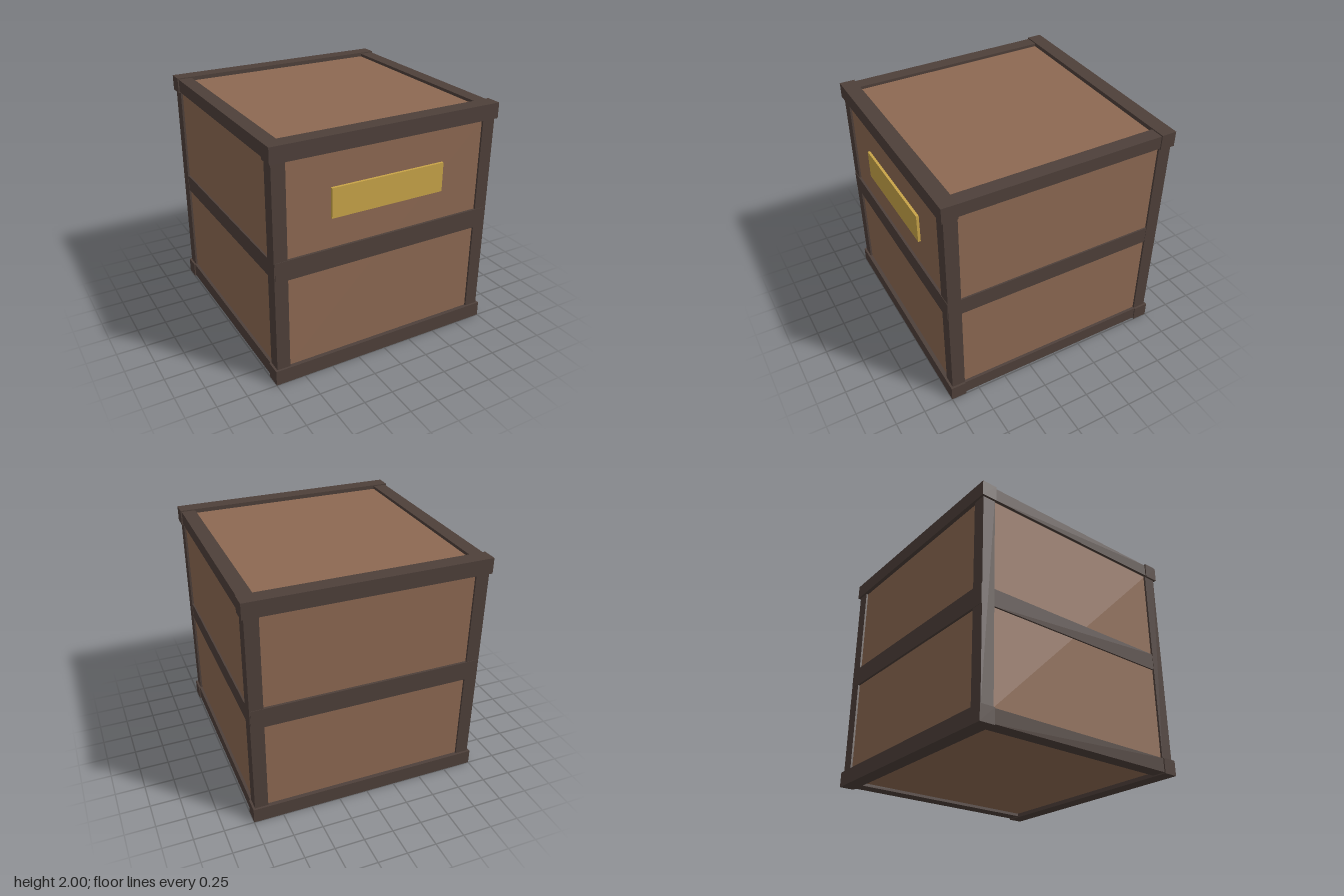
import * as THREE from 'three';

export function createModel() {
  const crate = new THREE.Group();
  crate.name = 'crate';

  const material = (name, color) => {
    const m = new THREE.MeshStandardMaterial({ color });
    m.name = name;
    return m;
  };
  const panelWood = material('panelWood', 0x8d6952);
  const frameWood = material('frameWood', 0x4e403a);
  const brass = material('brass', 0xc8a448);

  // Box given by its lower and upper corners
  const box = (name, mat, min, max) => {
    const size = max.map((v, i) => v - min[i]);
    const mesh = new THREE.Mesh(new THREE.BoxGeometry(...size), mat);
    mesh.position.set(...max.map((v, i) => (v + min[i]) / 2));
    mesh.name = name;
    crate.add(mesh);
  };
  // Sorted range on the positive or negative side of an axis
  const range = (side, inner, outer) => (side > 0 ? [inner, outer] : [-outer, -inner]);

  // Recessed panels: one solid core
  box('panels', panelWood, [-0.965, 0.035, -0.965], [0.965, 1.965, 0.965]);

  for (const s of [-1, 1]) {
    // Front and back: long rails at top and bottom, middle rail
    const [z0, z1] = range(s, 0.87, 1);
    box('bottomLongRail', frameWood, [-1, 0, z0], [1, 0.13, z1]);
    box('topLongRail', frameWood, [-1, 1.87, z0], [1, 2, z1]);
    const [m0, m1] = range(s, 0.9, 0.986);
    box('middleLongRail', frameWood, [-0.975, 0.918, m0], [0.975, 1.085, m1]);

    // Left and right: side rails between the long rails
    const [x0, x1] = range(s, 0.87, 0.99);
    box('bottomSideRail', frameWood, [x0, 0.01, -0.87], [x1, 0.128, 0.87]);
    box('topSideRail', frameWood, [x0, 1.88, -0.87], [x1, 1.99, 0.87]);
    const [n0, n1] = range(s, 0.9, 0.979);
    box('middleSideRail', frameWood, [n0, 0.93, -0.87], [n1, 1.077, 0.87]);

    // Corner posts
    for (const t of [-1, 1]) {
      const [px0, px1] = range(t, 0.87, 0.982);
      const [pz0, pz1] = range(s, 0.87, 0.982);
      box('cornerPost', frameWood, [px0, 0.1, pz0], [px1, 1.9, pz1]);
    }
  }

  // Plain plate on the front
  box('frontPlate', brass, [-0.5, 1.338, 0.96], [0.5, 1.585, 0.987]);

  return crate;
}
